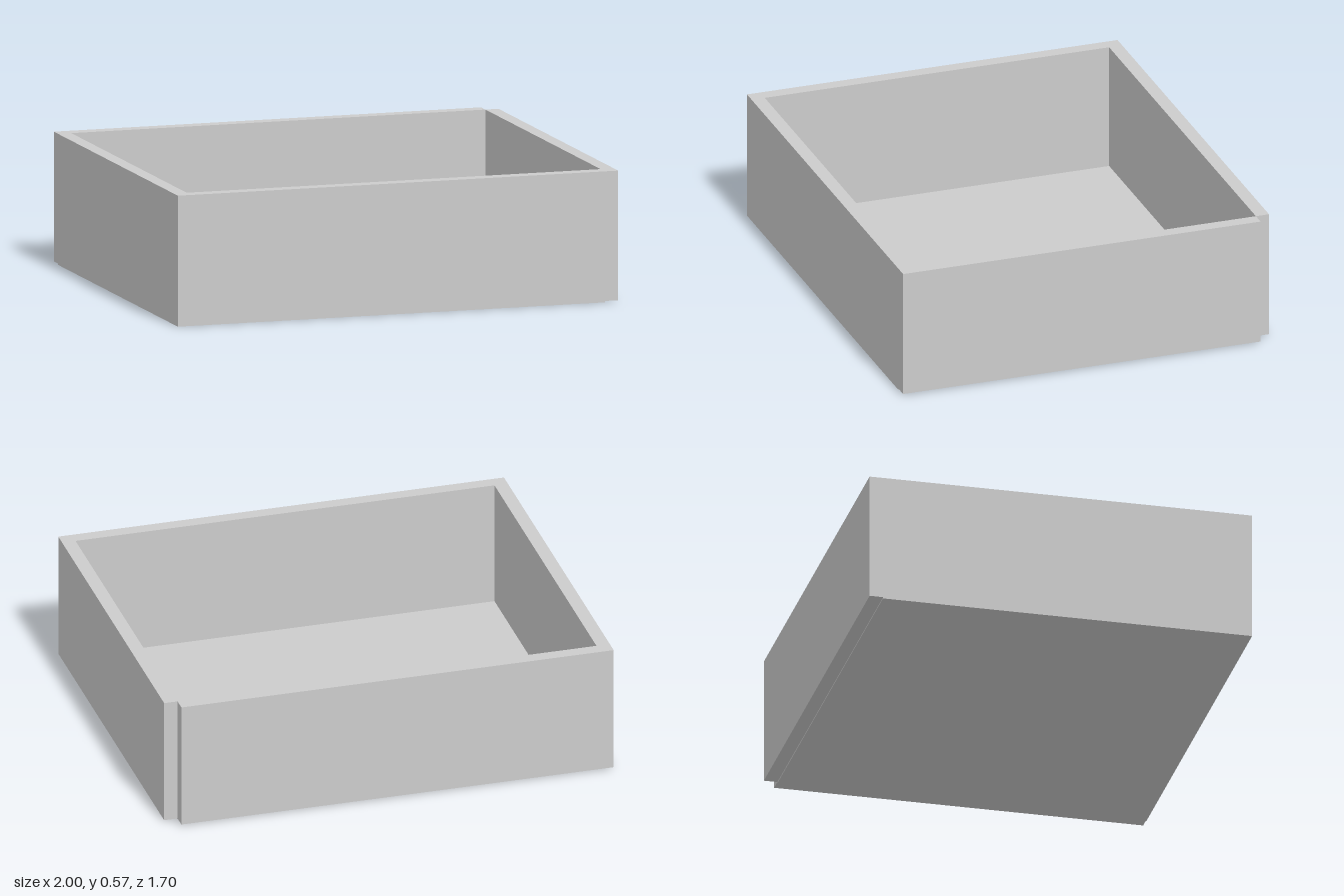
import * as THREE from 'three';

const material = new THREE.MeshStandardMaterial({ color: 0xcccccc, flatShading: true });

// Box given by its minimum and maximum corners
function block(name, [x0, y0, z0], [x1, y1, z1]) {
  const mesh = new THREE.Mesh(new THREE.BoxGeometry(x1 - x0, y1 - y0, z1 - z0), material);
  mesh.position.set((x0 + x1) / 2, (y0 + y1) / 2, (z0 + z1) / 2);
  mesh.name = name;
  return mesh;
}

export function createModel() {
  const group = new THREE.Group();
  group.name = 'room';

  const X = 1, Z = 0.848, T = 0.06; // half width, half depth, wall thickness
  const base = 0.006, top = 0.573;

  group.add(
    // Thin floor slab, leaving the back and +x walls outside it
    block('floor', [-X, 0, -Z + T], [X - T, 0.012, Z]),
    // Walls, with an open notch at the back +x corner
    block('backWall', [-X, base, -Z], [X - T, top, -Z + T]),
    block('leftWall', [X - T, base, -Z + T], [X, top, Z]),
    block('frontWall', [-X, base, Z - T], [X - T, top, Z]),
    block('rightWall', [-X, base, -Z + T], [-X + T, top, Z - T]),
    // Switch on the inner face of the +x wall
    block('switchPlate', [0.915, 0.02, -0.07], [0.935, 0.21, 0.08]),
    block('switchButton', [0.9, 0.08, -0.025], [0.915, 0.14, 0.035]),
    // Small block near the middle of the floor
    block('floorBlock', [0.045, 0.012, -0.01], [0.065, 0.032, 0.015])
  );
  return group;
}
